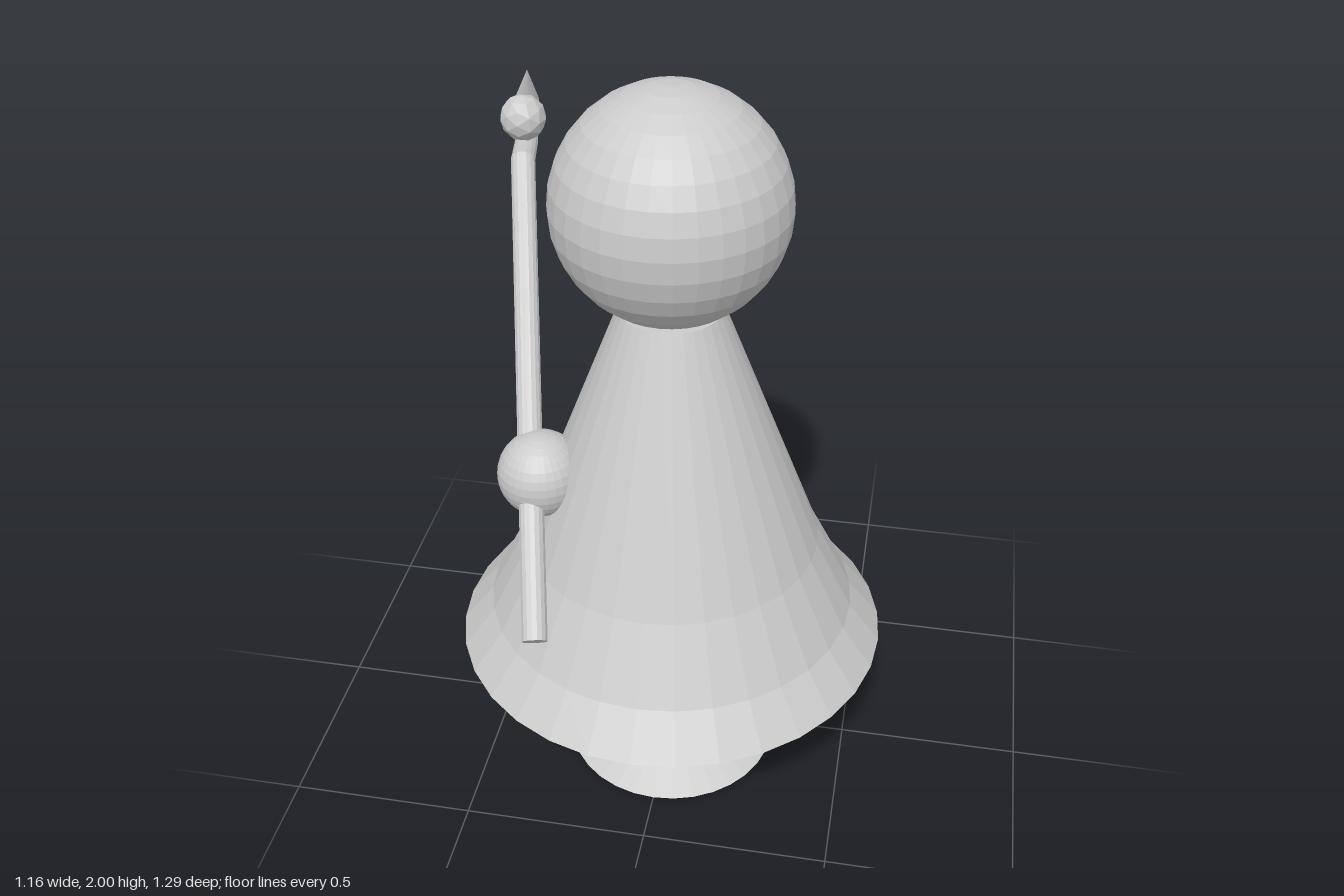
import * as THREE from 'three';

const material = new THREE.MeshStandardMaterial({ color: 0xcccccc, flatShading: true });
const SIDES = 32;

function addPart(group, name, geometry, x = 0, y = 0, z = 0) {
  const mesh = new THREE.Mesh(geometry, material);
  mesh.name = name;
  mesh.position.set(x, y, z);
  group.add(mesh);
  return mesh;
}

// Solid of revolution from [radius, height] pairs, listed from bottom to top
function turned(profile) {
  return new THREE.LatheGeometry(profile.map(([r, y]) => new THREE.Vector2(r, y)), SIDES);
}

// Round rod through [x, y, z, radius] stations, mitred at each bend, capped at the start
function sweptRod(stations, sides) {
  const points = stations.map(([x, y, z]) => new THREE.Vector3(x, y, z));
  const last = points.length - 1;
  const positions = [];
  const index = [];
  points.forEach((p, i) => {
    const before = points[i].clone().sub(points[Math.max(i - 1, 0)]).normalize();
    const after = points[Math.min(i + 1, last)].clone().sub(p).normalize();
    const tangent = before.add(after).normalize();
    const across = new THREE.Vector3(1, 0, 0).addScaledVector(tangent, -tangent.x).normalize();
    const up = new THREE.Vector3().crossVectors(tangent, across);
    for (let j = 0; j < sides; j++) {
      const a = (j / sides) * Math.PI * 2;
      const v = p.clone()
        .addScaledVector(across, Math.cos(a) * stations[i][3])
        .addScaledVector(up, Math.sin(a) * stations[i][3]);
      positions.push(v.x, v.y, v.z);
    }
  });
  const centre = positions.length / 3;
  positions.push(...points[0].toArray());
  for (let j = 0; j < sides; j++) {
    const k = (j + 1) % sides;
    index.push(centre, k, j);
    for (let i = 0; i < last; i++) {
      const a = i * sides;
      const c = a + sides;
      index.push(a + j, a + k, c + k, a + j, c + k, c + j);
    }
  }
  const geometry = new THREE.BufferGeometry();
  geometry.setAttribute('position', new THREE.Float32BufferAttribute(positions, 3));
  geometry.setIndex(index);
  geometry.computeVertexNormals();
  return geometry;
}

export function createModel() {
  const model = new THREE.Group();
  model.name = 'robedFigure';

  // Figure: foot, robe and head share one vertical axis
  const figure = new THREE.Group();
  figure.name = 'figure';
  figure.position.z = 0.065;
  model.add(figure);

  addPart(figure, 'foot', turned([[0, 0], [0.294, 0], [0.122, 0.08], [0.122, 0.26]]));
  addPart(figure, 'robe', turned([
    [0, 0.24], [0.325, 0.24], [0.58, 0.43], [0.495, 0.54],
    [0.395, 0.74], [0.132, 1.43], [0, 1.43],
  ]));
  addPart(figure, 'head', new THREE.SphereGeometry(0.294, SIDES, 16), 0, 1.706, 0);

  // Hand gripping the staff
  addPart(model, 'hand', new THREE.SphereGeometry(0.114, SIDES, 16), -0.322, 0.968, 0.183);

  // Staff: straight shaft, then a hook tapering to a point
  const staff = new THREE.Group();
  staff.name = 'staff';
  model.add(staff);
  addPart(staff, 'shaftAndHook', sweptRod([
    [-0.265, 0.695, 0.525, 0.033],
    [-0.497, 1.558, -0.42, 0.033],
    [-0.522, 1.555, -0.553, 0.032],
    [-0.53, 1.655, -0.607, 0.034],
    [-0.508, 1.765, -0.547, 0],
  ], 16));
  addPart(staff, 'orb', new THREE.IcosahedronGeometry(0.064, 1), -0.512, 1.648, -0.497);

  return model;
}
